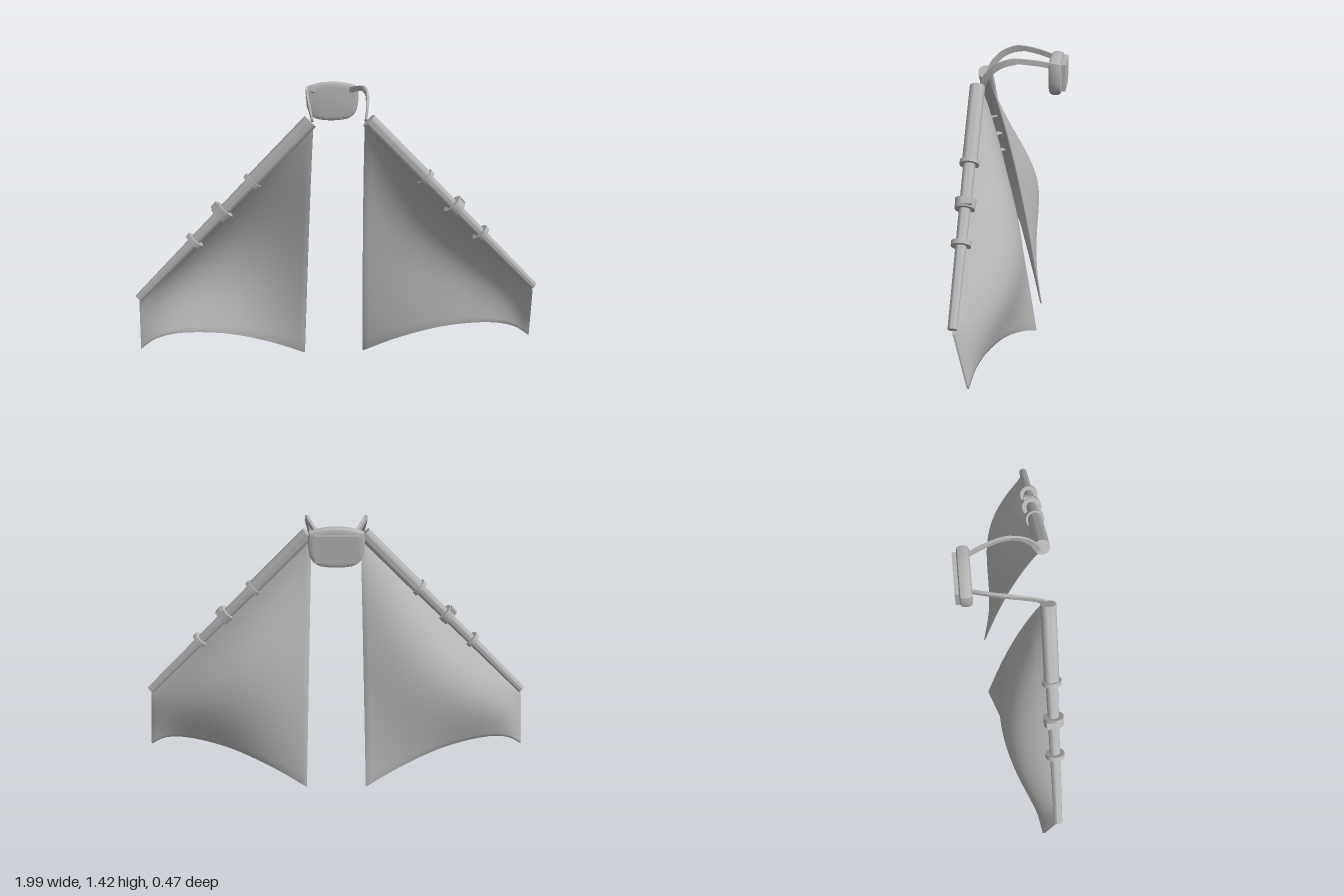
import * as THREE from 'three';
import { toCreasedNormals } from 'three/addons/utils/BufferGeometryUtils.js';

const V = (x, y, z) => new THREE.Vector3(x, y, z);
const grey = new THREE.MeshStandardMaterial({ color: 0xb4b4b4, side: THREE.DoubleSide });
grey.name = 'plain grey';

function add(parent, name, geometry) {
  const mesh = new THREE.Mesh(geometry, grey);
  mesh.name = name;
  parent.add(mesh);
  return mesh;
}

// Skin a row of closed rings (each: one face down, the other face back up) and cap both ends
function loft(rings) {
  const n = rings[0].length, m = n / 2, last = (rings.length - 1) * n;
  const index = [];
  for (let i = 0; i < rings.length - 1; i++) {
    for (let j = 0; j < n; j++) {
      const a = i * n + j, c = i * n + (j + 1) % n;
      index.push(a, c, c + n, a, c + n, a + n);
    }
  }
  for (let j = 0; j < m - 1; j++) {
    const k = n - 1 - j;
    index.push(j, k, k - 1, j, k - 1, j + 1);
    index.push(last + j, last + k - 1, last + k, last + j, last + j + 1, last + k - 1);
  }
  const geometry = new THREE.BufferGeometry().setFromPoints(rings.flat());
  geometry.setIndex(index);
  geometry.computeVertexNormals();
  return geometry;
}

// Billowing sail: a thin slab between the spar and a scalloped lower edge
function sailGeometry() {
  const top = new THREE.LineCurve3(V(0.125, 1.26, 0.165), V(0.98, 0.415, 0.18));
  const hem = new THREE.CatmullRomCurve3([
    V(0.155, 0.005, -0.103), V(0.33, 0.09, -0.05), V(0.57, 0.174, 0.02),
    V(0.81, 0.206, 0.08), V(0.92, 0.188, 0.105), V(0.988, 0.145, 0.12)]);
  const NU = 28, NV = 20, rings = [];
  const half = V(0.0015, 0, 0.0045);
  for (let i = 0; i <= NU; i++) {
    const u = i / NU, a = top.getPoint(u), b = hem.getPointAt(u);
    const belly = 0.03 * (1 - u) + 0.13 * Math.sin(Math.PI * u);
    const front = [], back = [];
    for (let j = 0; j <= NV; j++) {
      const v = j / NV, p = a.clone().lerp(b, v);
      p.z -= belly * Math.sin(Math.PI * Math.pow(v, 0.75));
      front.push(p.clone().add(half));
      back.unshift(p.clone().sub(half));
    }
    rings.push([...front, ...back]);
  }
  return loft(rings);
}

// Flat strap following part of the shoulder curve
const strapPath = new THREE.CatmullRomCurve3([
  V(0.128, 1.285, 0.165), V(0.138, 1.335, 0.142), V(0.145, 1.388, 0.085),
  V(0.14, 1.413, 0.01), V(0.118, 1.405, -0.08), V(0.088, 1.385, -0.165)]);

function strapGeometry(from, to, width, thick) {
  const rings = [], N = 16;
  for (let i = 0; i <= N; i++) {
    const t = from + (to - from) * i / N;
    const p = strapPath.getPointAt(t), d = strapPath.getTangentAt(t);
    const up = V(0, -d.z, d.y).normalize();
    const corner = (sx, sy) => p.clone().addScaledVector(up, sy * width / 2).add(V(sx * thick / 2, 0, 0));
    rings.push([corner(1, 1), corner(1, -1), corner(-1, -1), corner(-1, 1)]);
  }
  return toCreasedNormals(loft(rings), 0.6);
}

function wing() {
  const g = new THREE.Group();
  add(g, 'sail', sailGeometry());

  // Spar, built along its own y axis with the thick end at the top
  const start = V(0.14, 1.288, 0.184), end = V(0.982, 0.432, 0.184);
  const axis = start.clone().sub(end), length = axis.length();
  const spar = new THREE.Group();
  spar.name = 'spar';
  spar.position.copy(end);
  spar.quaternion.setFromUnitVectors(V(0, 1, 0), axis.normalize());
  g.add(spar);
  const profile = [[0, 0], [0.021, 0], [0.029, 0.66], [0.036, 0.665], [0.037, 1], [0, 1]]
    .map(([r, t]) => new THREE.Vector2(r, t * length));
  add(spar, 'sparPole', toCreasedNormals(new THREE.LatheGeometry(profile, 24), 0.6));

  // Narrow rings and the wider clamp between them
  for (const t of [0.33, 0.665]) {
    add(spar, 'sparRing', new THREE.CylinderGeometry(0.046, 0.046, 0.022, 24)).position.y = t * length;
  }
  const clamp = add(spar, 'sparClamp', new THREE.CylinderGeometry(0.05, 0.046, 0.048, 24));
  clamp.position.y = 0.49 * length;
  const lip = add(spar, 'clampLip', new THREE.BoxGeometry(0.018, 0.034, 0.05));
  lip.position.set(0.045, 0.49 * length, -0.012);

  // Two overlapping straps with rivets
  add(g, 'lowerStrap', strapGeometry(0, 0.56, 0.031, 0.01));
  add(g, 'upperStrap', strapGeometry(0.46, 1, 0.025, 0.015));
  for (const t of [0.28, 0.33, 0.49, 0.53]) {
    const rivet = add(g, 'strapRivet', new THREE.CylinderGeometry(0.004, 0.004, 0.018, 10));
    rivet.rotation.z = Math.PI / 2;
    rivet.position.copy(strapPath.getPointAt(t));
  }
  return g;
}

export function createModel() {
  const model = new THREE.Group();
  model.name = 'wingHarness';

  const left = wing();
  left.name = 'leftWing';
  const right = wing();
  right.name = 'rightWing';
  right.scale.x = -1;
  model.add(left, right);

  // Back pad: rounded outline, wider at the top, with chamfered rims
  const s = new THREE.Shape();
  s.moveTo(-0.07, 1.257);
  s.quadraticCurveTo(0, 1.243, 0.07, 1.257);
  s.quadraticCurveTo(0.108, 1.27, 0.112, 1.315);
  s.quadraticCurveTo(0.118, 1.36, 0.112, 1.39);
  s.quadraticCurveTo(0.06, 1.408, 0, 1.408);
  s.quadraticCurveTo(-0.06, 1.408, -0.112, 1.39);
  s.quadraticCurveTo(-0.118, 1.36, -0.112, 1.315);
  s.quadraticCurveTo(-0.108, 1.27, -0.07, 1.257);
  const pad = new THREE.ExtrudeGeometry(s, {
    depth: 0.024, bevelEnabled: true, bevelThickness: 0.018, bevelSize: 0.018, bevelSegments: 2, curveSegments: 8 });
  add(model, 'backPad', toCreasedNormals(pad, 0.7)).position.z = -0.195;
  add(model, 'backPlate', new THREE.BoxGeometry(0.205, 0.13, 0.03)).position.set(0, 1.33, -0.218);

  return model;
}
